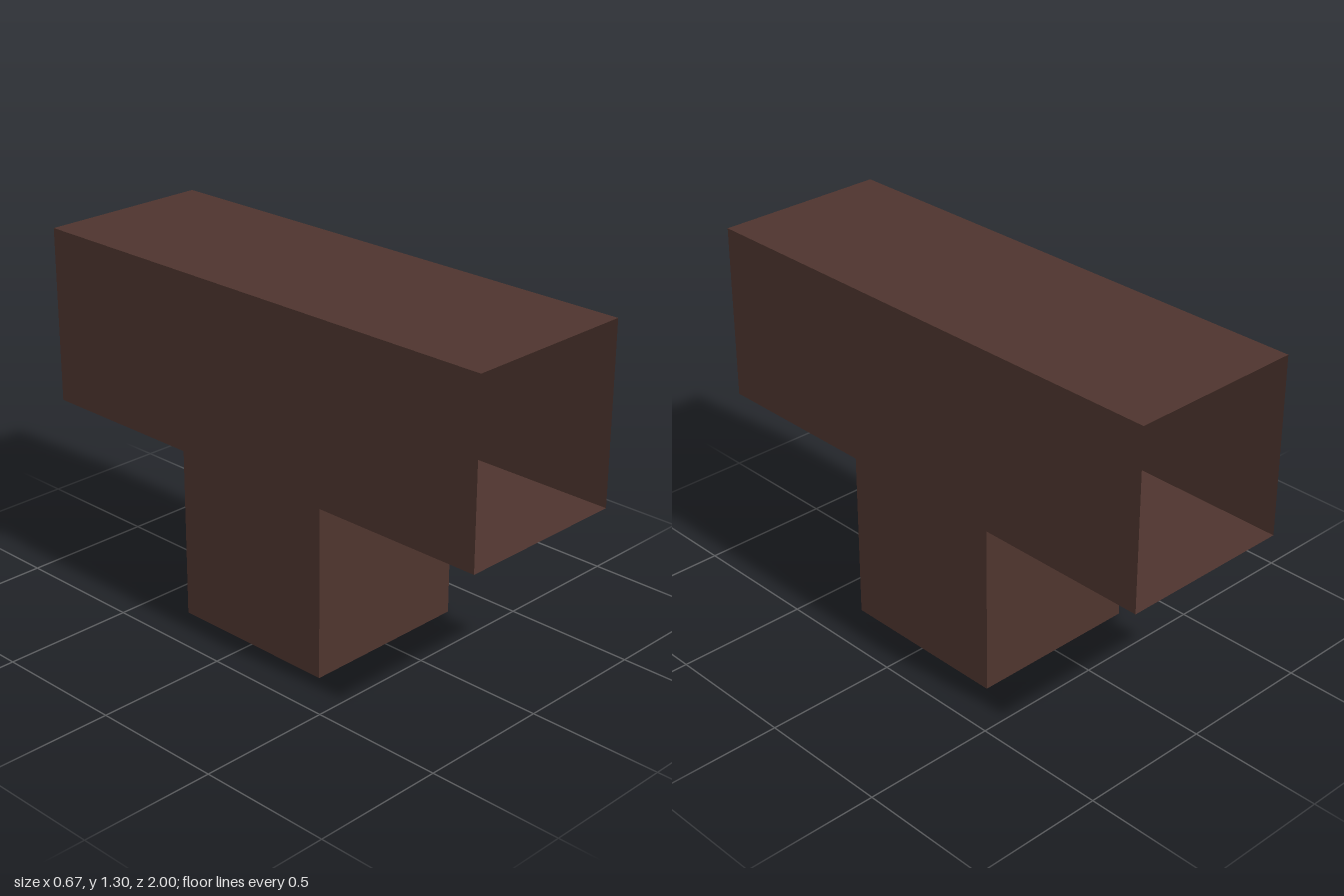
import * as THREE from 'three';

export function createModel() {
  const group = new THREE.Group();
  group.name = 'teeDuct';
  const brown = new THREE.MeshStandardMaterial({ color: 0x4e342e, side: THREE.DoubleSide });
  brown.name = 'dark brown';

  const half = 0.333;      // half width of both ducts
  const joint = 0.64;      // underside of the cross duct
  const top = 1.305;
  const length = 2;

  // Thin panel with its own name
  function panel(name, geometry, x, y, z) {
    const mesh = new THREE.Mesh(geometry, brown);
    mesh.name = name;
    mesh.position.set(x, y, z);
    group.add(mesh);
  }
  const flat = (w, d) => new THREE.PlaneGeometry(w, d).rotateX(-Math.PI / 2);

  // T-shaped side walls
  const tee = new THREE.Shape([
    [-half, 0], [half, 0], [half, joint], [1, joint],
    [1, top], [-1, top], [-1, joint], [-half, joint],
  ].map(([z, y]) => new THREE.Vector2(z, y)));
  for (const side of [-1, 1]) {
    const wall = new THREE.ShapeGeometry(tee).rotateY(side * Math.PI / 2);
    panel(side > 0 ? 'leftWall' : 'rightWall', wall, side * half, 0, 0);
  }

  // Roof of the cross duct, open at both ends
  panel('roof', flat(half * 2, length), 0, top, 0);

  // Floor of the cross duct with the opening into the leg
  const rect = (Type, w, d) => new Type([
    new THREE.Vector2(-w, -d), new THREE.Vector2(w, -d),
    new THREE.Vector2(w, d), new THREE.Vector2(-w, d),
  ]);
  const floor = rect(THREE.Shape, half, length / 2);
  floor.holes.push(rect(THREE.Path, 0.2, half));
  panel('ductFloor', new THREE.ShapeGeometry(floor).rotateX(-Math.PI / 2), 0, joint, 0);

  // Closed leg: front, back and base
  for (const end of [-1, 1]) {
    const wall = new THREE.PlaneGeometry(half * 2, joint);
    if (end < 0) wall.rotateY(Math.PI);
    panel(end > 0 ? 'legFront' : 'legBack', wall, 0, joint / 2, end * half);
  }
  panel('legBase', flat(half * 2, half * 2).rotateX(Math.PI), 0, 0, 0);

  return group;
}
